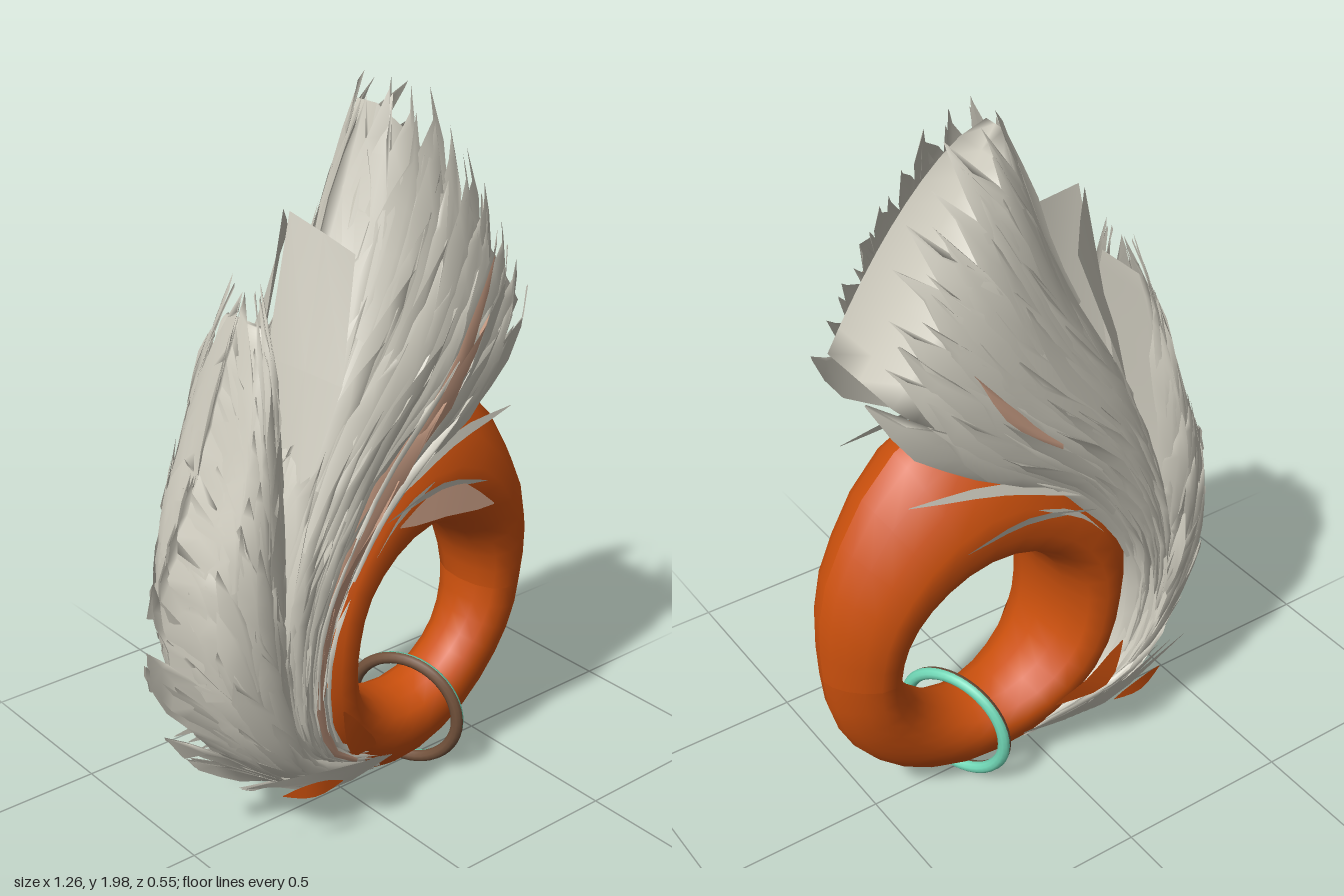
import * as THREE from 'three';
import { mergeGeometries } from 'three/addons/utils/BufferGeometryUtils.js';

const V = (x, y, z = 0) => new THREE.Vector3(x, y, z);
const curve = (pts) => new THREE.CatmullRomCurve3(pts.map((p) => V(...p)));
const clamp = THREE.MathUtils.clamp;

let seed = 7;
const rand = (a = 0, b = 1) => {
  seed = (seed * 16807) % 2147483647;
  return a + (b - a) * (seed / 2147483647);
};

// Grid of points (rows of equal length) to a smooth surface
function skin(rows) {
  const n = rows[0].length, pos = [], index = [];
  rows.forEach((r) => r.forEach((p) => pos.push(p.x, p.y, p.z)));
  for (let i = 0; i < rows.length - 1; i++) {
    for (let j = 0; j < n - 1; j++) {
      const a = i * n + j, b = a + 1, c = a + n, d = c + 1;
      index.push(a, b, c, b, d, c);
    }
  }
  const g = new THREE.BufferGeometry();
  g.setAttribute('position', new THREE.Float32BufferAttribute(pos, 3));
  g.setIndex(index);
  g.computeVertexNormals();
  return g;
}

const mirrorZ = (rows) => rows.map((r) => r.map((p) => V(p.x, p.y, -p.z)).reverse());

// A plume is the space between two edge curves, swollen sideways in z;
// the widths run a little past the end so that the tips close in
function plume(right, left, widths, crest, foot) {
  const R = curve(right), L = curve(left), W = curve(widths.map((w, i) => [i, w, 0]));
  const along = (c, v) => {
    const k = clamp(v, 0, 1);
    return c.getPoint(k).addScaledVector(c.getTangent(k), (v - k) * 1.6);
  };
  return (u, v, lift = 0) => {
    const p = along(R, v).lerp(along(L, v), u);
    const w = W.getPoint(clamp(v / 1.1, 0, 1)).y;
    const k = u > crest ? (u - crest) / (1 - crest) : (crest - u) / crest;
    const f = u > crest ? Math.sqrt(Math.max(0, 1 - k * k)) : 1 - (1 - foot) * k * k;
    const fade = Math.min(clamp((1.08 - v) * 5, 0.15, 1), clamp((1.1 - u) * 3, 0.2, 1));
    p.z = Math.max(w * f + lift * fade, 0.002);
    return p;
  };
}

// Closed shell under the feathers, pinched shut at the end
function plumeCore(S, end) {
  const rows = [];
  for (let i = 0; i <= 24; i++) {
    const row = [], v = (i / 24) * end;
    for (let j = 0; j <= 10; j++) row.push(S(0.98 - 0.95 * (j / 10), v, -0.012));
    const back = row.map((p) => V(p.x, p.y, -p.z)).reverse();
    rows.push([...row, ...back, row[0].clone()]);
  }
  rows.push(rows[24].map((p) => V(p.x, p.y, 0)));
  return skin(rows);
}

// One ridged feather lying along the plume
function feather(S, u0, v0, len, width, drift, lift, base = 0.003) {
  const rows = [], tilt = rand(-0.012, 0.024), skew = rand(-0.03, 0.03);
  for (let i = 0; i <= 5; i++) {
    const t = i / 5, v = v0 + len * t, u = u0 + drift * t * t;
    const w = width * (t < 0.65 ? 0.6 + 0.62 * t : (1 - t) * 2.6 + 0.09);
    const h = base + lift * t;
    rows.push([S(u + w, v + (skew - 0.03) * t, h + tilt * t), S(u, v, h + 0.009), S(u - w, v - (skew + 0.03) * t, h - tilt * t)]);
  }
  return rows;
}

// Free leaf along a bent path, with a given half-width direction
function leaf(pts, side) {
  const c = curve(pts), rows = [];
  for (let i = 0; i <= 6; i++) {
    const t = i / 6, p = c.getPoint(t), s = side.clone().multiplyScalar(0.05 + Math.sin(Math.PI * t));
    rows.push([p.clone().add(s), p, p.clone().sub(s)]);
  }
  return rows;
}

export function createModel() {
  const model = new THREE.Group();
  const mat = (name, color) => {
    const m = new THREE.MeshStandardMaterial({ color, side: THREE.DoubleSide });
    m.name = name;
    return m;
  };
  const grey = mat('feather grey', 0xcdcabd);
  const peach = mat('pale peach', 0xcb9f86);
  const orange = mat('burnt orange', 0xcb500d);
  const teal = mat('teal', 0x70d6b5);
  const brown = mat('bronze brown', 0x70503a);
  const add = (name, geo, material) => {
    const m = new THREE.Mesh(geo, material);
    m.name = name;
    model.add(m);
  };

  // Curled body: outer radius, half width and inner radius, every 45 degrees
  const spec = [[0.44, 0.125, 0.24], [0.535, 0.17, 0.25], [0.69, 0.21, 0.26], [0.56, 0.22, 0.26],
    [0.46, 0.2, 0.24], [0.49, 0.16, 0.25], [0.49, 0.115, 0.255], [0.455, 0.1, 0.24]];
  const specCurve = new THREE.CatmullRomCurve3(spec.map((s) => V(...s)), true);
  const ringRows = [];
  for (let i = 0; i <= 30; i++) {
    const a = (i / 30) * Math.PI * 2, s = specCurve.getPoint((i / 30) % 1), row = [];
    for (let j = 0; j <= 16; j++) {
      const b = (j / 16) * Math.PI * 2;
      const r = (s.x + s.z) / 2 + ((s.x - s.z) / 2) * Math.cos(b);
      row.push(V(0.19 + r * Math.cos(a), 0.52 + r * Math.sin(a), s.y * Math.sin(b) * (1 - 0.32 * Math.cos(b))));
    }
    ringRows.push(row.reverse());
  }
  add('curledBody', skin(ringRows), orange);

  // Plume surfaces
  const main = plume(
    [[0.14, 0.12], [-0.15, 0.3], [-0.21, 0.62], [-0.03, 0.95], [0.27, 1.16], [0.51, 1.38]],
    [[0.0, 0.1], [-0.3, 0.32], [-0.38, 0.72], [-0.27, 1.14], [-0.06, 1.55], [0.09, 1.98]],
    [0.08, 0.145, 0.185, 0.21, 0.225, 0.235, 0.235, 0.225, 0.205, 0.16, 0.02], 0.35, 0.9);
  const rear = plume(
    [[0.1, 0.11], [-0.2, 0.28], [-0.3, 0.6], [-0.31, 0.95], [-0.3, 1.25], [-0.285, 1.52]],
    [[0.0, 0.07], [-0.3, 0.18], [-0.5, 0.46], [-0.53, 0.8], [-0.42, 1.14], [-0.31, 1.48]],
    [0.08, 0.16, 0.185, 0.175, 0.12, 0.01], 0.3, 0.9);
  add('mainPlumeCore', plumeCore(main, 0.98), grey);
  add('rearPlumeCore', plumeCore(rear, 0.95), grey);

  const sets = { grey: [], peach: [], orange: [] };
  const putFront = (set, rows) => sets[set].push(skin(rows));
  const putBack = (set, rows) => sets[set].push(skin(mirrorZ(rows)));
  const put = (set, rows) => { putFront(set, rows); putBack(set, rows); };

  // Main plume feathers, tips forming a rounded fan
  for (let i = 0; i < 12; i++) {
    for (let j = 0; j < 7; j++) {
      const u = (j + rand(0.15, 0.85)) / 7;
      const bulge = 0.08 * Math.sin(Math.PI * u);
      const len = rand(0.24, 0.34);
      const v = Math.min((i / 11) * 0.76 + rand(-0.02, 0.03), 1.0 + bulge - len - rand(0, 0.08));
      put('grey', feather(main, u, Math.max(v, 0), len, rand(0.06, 0.1), rand(-0.05, 0.06), rand(0.004, 0.02)));
    }
  }
  // Last row right at the fan edge
  for (let j = 0; j < 9; j++) {
    const u = j / 8, len = rand(0.24, 0.32);
    put('grey', feather(main, u, 1.01 + 0.08 * Math.sin(Math.PI * u) - len + rand(-0.04, 0.015), len, rand(0.07, 0.1), 0, 0.012));
  }
  // Pale stripe flowing up the front side, with only a trace on the back
  [[0.28, 0.12, 0.34, 0.13], [0.2, 0.32, 0.32, 0.15], [0.25, 0.46, 0.3, 0.15], [0.24, 0.62, 0.28, 0.085], [0.3, 0.72, 0.25, 0.06]]
    .forEach(([u, v, len, w]) => putFront('peach', feather(main, u, v, len, w, 0.03, 0.008, 0.022)));
  putBack('peach', feather(main, 0.28, 0.72, 0.2, 0.035, 0.02, 0.01, 0.016));
  // Grey slivers lying over the stripe
  [[0.1, 0.22], [0.36, 0.3], [0.12, 0.5], [0.34, 0.55]]
    .forEach(([u, v]) => putFront('grey', feather(main, u, v, 0.26, 0.035, 0.02, 0.008, 0.03)));

  // Rear plume feathers, drifting outwards to a saw-toothed edge
  for (let i = 0; i < 13; i++) {
    for (let j = 0; j < 5; j++) {
      const u = (j + rand(0.2, 0.8)) / 5, len = rand(0.18, 0.25);
      const v = Math.min((i / 12) * 0.82 + rand(-0.02, 0.02), 1.03 - len);
      put('grey', feather(rear, u, Math.max(v, 0), len, rand(0.11, 0.17), 0.1 + 0.37 * u, rand(0.004, 0.02)));
    }
  }

  // Broad blades in the valley between the plumes
  const broad = [
    [V(-0.3, 1.0, 0.01), V(-0.29, 1.0, 0.09), V(-0.27, 1.0, 0.17)],
    [V(-0.24, 1.35, 0.012), V(-0.2, 1.33, 0.11), V(-0.15, 1.3, 0.19)],
    [V(-0.165, 1.7, 0.012), V(-0.11, 1.65, 0.07), V(-0.06, 1.6, 0.13)],
  ];
  put('grey', broad);

  // Loose slivers and a pale patch over the curled body
  putFront('peach', leaf([[0.0, 0.9, 0.238], [0.17, 0.925, 0.228], [0.34, 0.86, 0.222]], V(0.01, 0.042, -0.006)));
  put('grey', leaf([[-0.05, 0.93, 0.245], [0.15, 0.965, 0.228], [0.32, 0.93, 0.216]], V(0, 0.012, 0.004)));
  put('grey', leaf([[0.0, 0.99, 0.24], [0.2, 1.07, 0.205], [0.45, 1.09, 0.16]], V(0, 0.014, -0.004)));
  put('grey', leaf([[-0.08, 0.84, 0.24], [0.0, 0.93, 0.24], [0.12, 0.99, 0.232]], V(0.01, 0.016, 0)));

  // Low feathers sweeping back from the base
  for (let i = 0; i < 5; i++) {
    const y = 0.13 + i * 0.02, z = 0.08 + i * 0.02;
    put('grey', leaf([[0.1 - i * 0.03, y, z + 0.03], [-0.12, y + 0.01, z + 0.05], [-0.32 - i * 0.03, y + 0.06, z]], V(0.01, 0.022, 0.01)));
  }
  put('orange', leaf([[-0.16, 0.2, 0.205], [-0.25, 0.21, 0.205], [-0.34, 0.215, 0.18]], V(0.004, 0.02, 0)));
  put('orange', leaf([[0.0, 0.22, 0.15], [-0.1, 0.29, 0.2], [-0.17, 0.42, 0.22]], V(0.03, 0.02, -0.005)));

  add('greyFeathers', mergeGeometries(sets.grey), grey);
  add('peachFeathers', mergeGeometries(sets.peach), peach);
  add('orangeFeathers', mergeGeometries(sets.orange), orange);

  // Hoop around the narrow end: one face teal, the other brown
  const hoopGeo = new THREE.TorusGeometry(0.165, 0.018, 10, 48);
  const half = hoopGeo.index.count / 2;
  hoopGeo.clearGroups();
  hoopGeo.addGroup(0, half, 0);
  hoopGeo.addGroup(half, half, 1);
  const hoop = new THREE.Mesh(hoopGeo, [teal, brown]);
  hoop.name = 'hoop';
  hoop.position.set(0.235, 0.175, 0);
  hoop.scale.y = 0.93;
  hoop.rotation.y = 1.94;
  model.add(hoop);

  return model;
}
